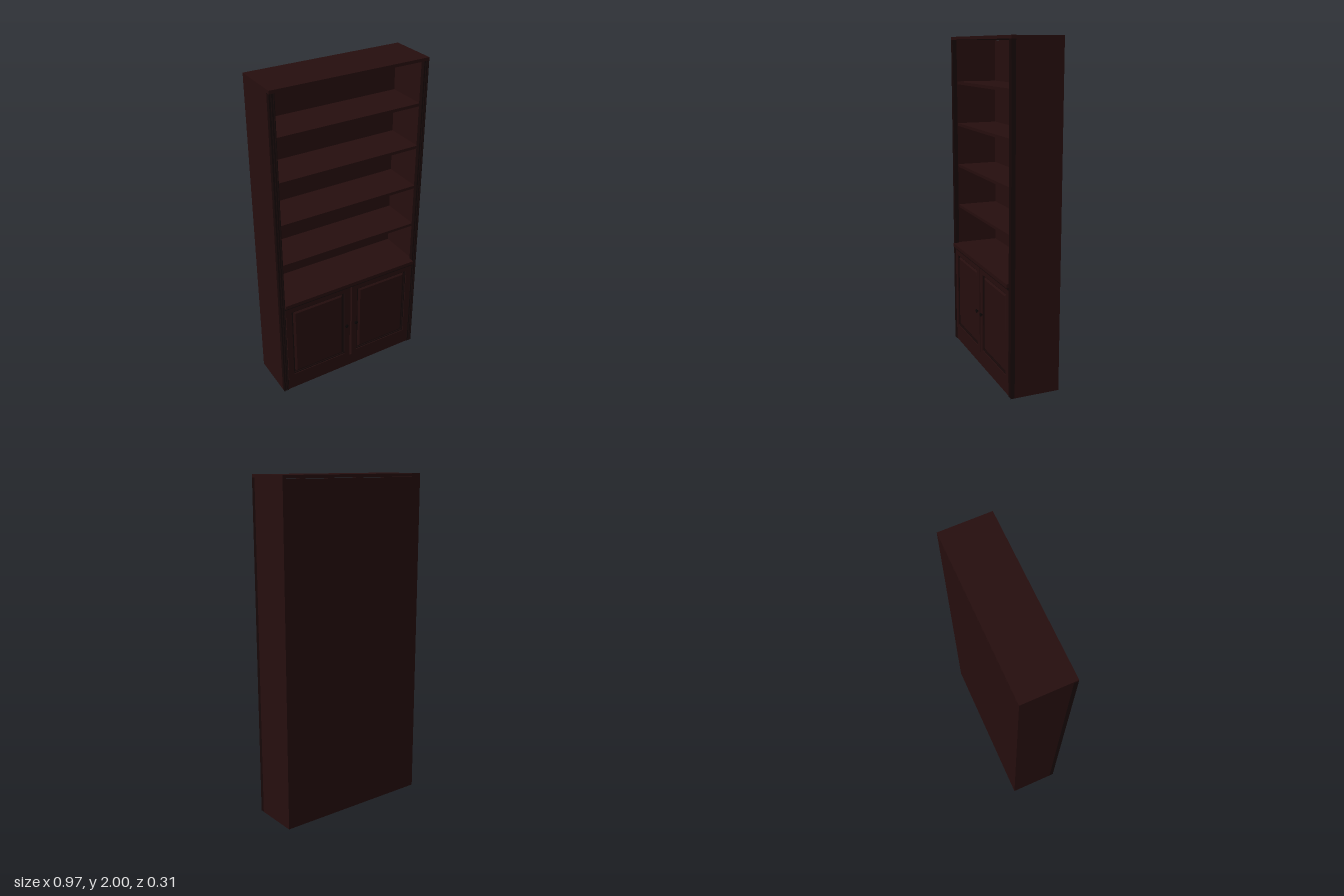
import * as THREE from 'three';

const mat = (name, color) => {
  const m = new THREE.MeshStandardMaterial({ color });
  m.name = name;
  return m;
};

export function createModel() {
  const wood = mat('dark mahogany', 0x260e0e);
  const trim = mat('darker trim', 0x170808);
  const metal = mat('black knob', 0x0c0606);
  const root = new THREE.Group();
  root.name = 'bookcase';

  const add = (name, geometry, material, x = 0, y = 0, z = 0, parent = root) => {
    const mesh = new THREE.Mesh(geometry, material);
    mesh.name = name;
    mesh.position.set(x, y, z);
    parent.add(mesh);
    return mesh;
  };
  // Box given by its minimum and maximum on each axis
  const box = (name, material, x0, x1, y0, y1, z0, z1, parent) =>
    add(name, new THREE.BoxGeometry(x1 - x0, y1 - y0, z1 - z0), material,
      (x0 + x1) / 2, (y0 + y1) / 2, (z0 + z1) / 2, parent);
  const rect = (P, w, h) => {
    const p = new P();
    p.moveTo(-w / 2, -h / 2);
    p.lineTo(w / 2, -h / 2);
    p.lineTo(w / 2, h / 2);
    p.lineTo(-w / 2, h / 2);
    p.closePath();
    return p;
  };
  // Rectangular ring standing in the xy plane
  const ring = (w, h, iw, ih, depth) => {
    const s = rect(THREE.Shape, w, h);
    s.holes.push(rect(THREE.Path, iw, ih));
    return new THREE.ExtrudeGeometry(s, { depth, bevelEnabled: false });
  };

  // Carcass, open underneath behind the base board
  box('backPanel', wood, -0.467, 0.467, 0, 1.98, -0.157, -0.145);
  box('topPanel', wood, -0.487, 0.487, 1.982, 2, -0.157, 0.143);
  box('bottomPanel', wood, -0.467, 0.467, 0.065, 0.08, -0.145, 0.12);
  box('baseBoard', wood, -0.455, 0.455, 0, 0.08, 0.12, 0.138);

  for (const s of [-1, 1]) {
    const side = box('sidePanel', wood, -0.01, 0.01, 0, 1.982, -0.157, 0.118);
    side.position.x = s * 0.477;

    // Front stile with two shallow flutes
    const profile = new THREE.Shape();
    [[-0.016, 0.118], [0.016, 0.118], [0.016, 0.143], [0.011, 0.143], [0.009, 0.139],
      [0.004, 0.139], [0.002, 0.143], [-0.002, 0.143], [-0.004, 0.139], [-0.009, 0.139],
      [-0.011, 0.143], [-0.016, 0.143]].forEach(([x, z], i) =>
      i ? profile.lineTo(x, -z) : profile.moveTo(x, -z));
    const stile = new THREE.ExtrudeGeometry(profile, { depth: 1.982, bevelEnabled: false });
    stile.rotateX(-Math.PI / 2);
    add('frontStile', stile, trim, s * 0.471);
  }

  // Open shelves
  for (const y of [0.92, 1.187, 1.453, 1.717])
    box('shelf', wood, -0.467, 0.467, y - 0.009, y + 0.009, -0.145, 0.11);

  // Cabinet top with a projecting edge
  box('cabinetTop', wood, -0.467, 0.467, 0.655, 0.672, -0.145, 0.118);
  box('cabinetTopEdge', wood, -0.455, 0.455, 0.65, 0.672, 0.118, 0.157);
  box('ledgeMoulding', trim, -0.455, 0.455, 0.637, 0.65, 0.118, 0.149);

  // Paired doors with raised panels and round knobs
  for (const s of [-1, 1]) {
    const door = new THREE.Group();
    door.name = s < 0 ? 'rightDoor' : 'leftDoor';
    door.position.set(s * 0.229, 0.358, 0);
    root.add(door);
    add('doorFrame', ring(0.444, 0.552, 0.37, 0.49, 0.018), wood, 0, 0, 0.125, door);
    add('frameMoulding', ring(0.372, 0.492, 0.356, 0.476, 0.013), trim, 0, 0, 0.125, door);
    box('panelRecess', trim, -0.186, 0.186, -0.246, 0.246, 0.122, 0.13, door);
    const panel = new THREE.ExtrudeGeometry(rect(THREE.Shape, 0.318, 0.444), {
      depth: 0.002, bevelThickness: 0.009, bevelSize: 0.012, bevelSegments: 1,
    });
    add('raisedPanel', panel, wood, 0, 0, 0.129, door);
    const knob = new THREE.LatheGeometry([[0, 0], [0.006, 0], [0.006, 0.006], [0.012, 0.009],
      [0.011, 0.013], [0, 0.015]].map(p => new THREE.Vector2(...p)), 20);
    knob.rotateX(Math.PI / 2);
    add('knob', knob, metal, -s * 0.194, -0.013, 0.142, door);
  }
  return root;
}
